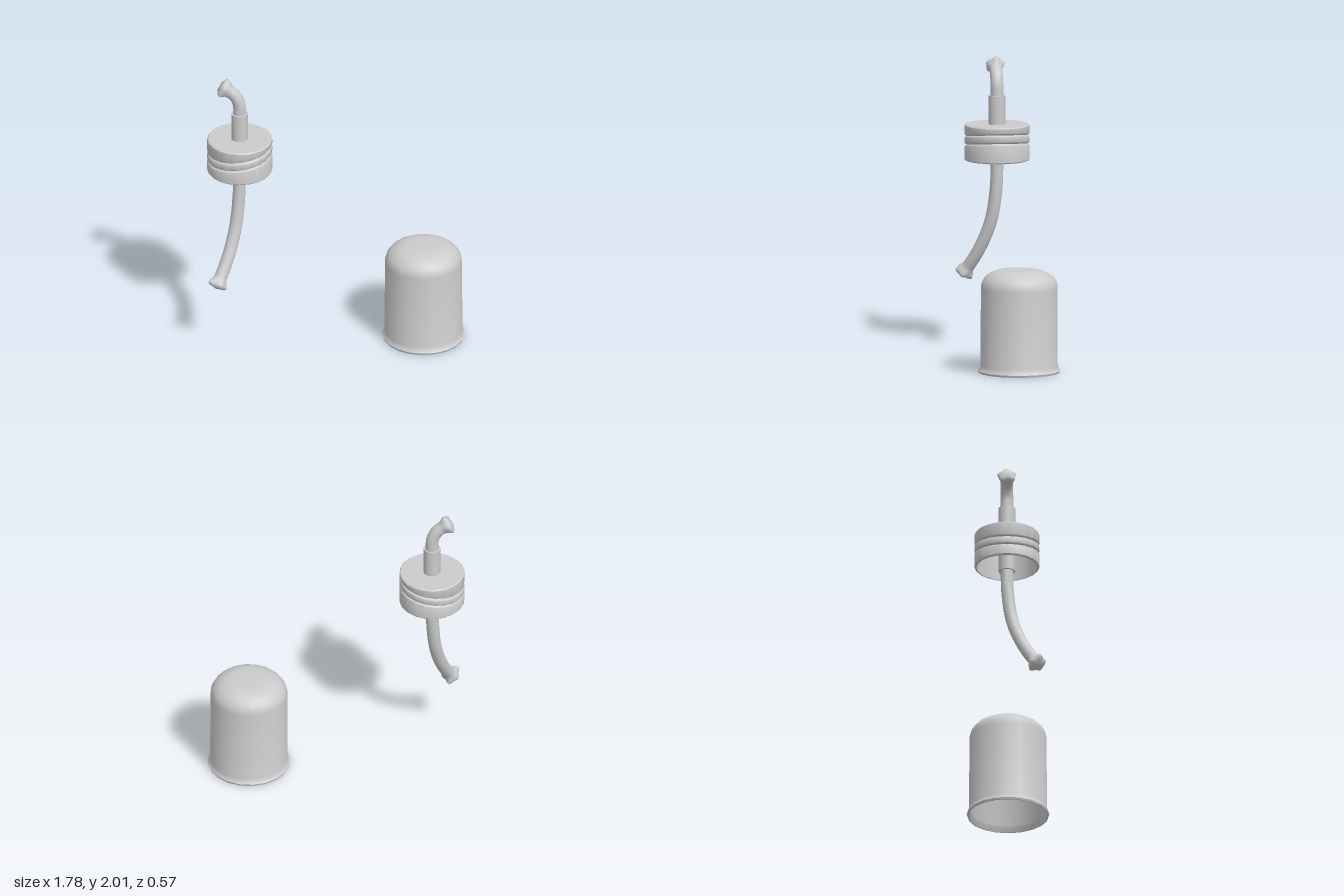
import * as THREE from 'three';
import { toCreasedNormals } from 'three/addons/utils/BufferGeometryUtils.js';

const material = new THREE.MeshStandardMaterial({ color: 0xcccccc, side: THREE.DoubleSide });
const SIDES = 20;
const CAP_X = -0.664, SNUFFER_X = 0.605, Z = -0.003;

function mesh(name, geometry, x = 0, z = 0) {
  const m = new THREE.Mesh(geometry, material);
  m.name = name;
  m.position.set(x, 0, z);
  return m;
}

const lathe = (profile, sides = SIDES) =>
  new THREE.LatheGeometry(profile.map(([r, y]) => new THREE.Vector2(r, y)), sides);

// Hollow bell with a rounded shoulder and a flared rim
function snuffer() {
  const profile = [
    [0, 0.7], [0.12, 0.697], [0.185, 0.68], [0.235, 0.64], [0.256, 0.585],
    [0.256, 0.05], [0.264, 0.025], [0.274, 0],
    [0.281, 0], [0.286, 0.014], [0.276, 0.026], [0.268, 0.05],
    [0.267, 0.59], [0.262, 0.622], [0.245, 0.653], [0.22, 0.678], [0.187, 0.697],
    [0.15, 0.709], [0.115, 0.713], [0.06, 0.715], [0, 0.715],
  ];
  return mesh('snuffer', toCreasedNormals(lathe(profile), 0.6), SNUFFER_X, Z);
}

// Cap open below, with a slanting thread between two grooves
function threadedCap() {
  const profile = [
    [0.05, 1.535], [0.21, 1.535], [0.21, 1.3], [0.218, 1.3], [0.225, 1.307],
    [0.225, 1.398], [0.221, 1.405], [0.21, 1.411], [0.221, 1.417], [0.225, 1.424],
    [0.225, 1.458], [0.221, 1.465], [0.21, 1.471], [0.221, 1.477], [0.225, 1.484],
    [0.225, 1.543], [0.218, 1.55], [0.05, 1.55],
  ];
  const geometry = lathe(profile);
  const p = geometry.attributes.position;
  for (let i = 0; i < p.count; i++) {
    const y = p.getY(i);
    if (y > 1.39 && y < 1.49) p.setY(i, y + 0.135 * p.getX(i));
  }
  return mesh('threadedCap', toCreasedNormals(geometry, 0.6), CAP_X, Z);
}

// Sleeve that holds the wick
function wickHolder() {
  const profile = [[0.046, 1.75], [0.046, 1.27], [0.058, 1.27], [0.058, 1.75], [0.046, 1.75]];
  return mesh('wickHolder', toCreasedNormals(lathe(profile), 0.6), CAP_X, Z);
}

// Bent cord whose two ends flare into frayed knots
function wick() {
  const path = new THREE.CatmullRomCurve3([
    [-0.825, 0.48, 0.222], [-0.768, 0.6, 0.148], [-0.718, 0.75, 0.077], [-0.687, 0.9, 0.03],
    [-0.669, 1.1, 0.003], [-0.664, 1.27, Z], [-0.664, 1.55, Z], [-0.664, 1.75, Z],
    [-0.67, 1.83, Z], [-0.7, 1.89, Z], [-0.75, 1.93, Z], [-0.803, 1.963, Z],
  ].map((v) => new THREE.Vector3(...v)));
  const segments = 130, radial = 20, radius = 0.044;
  const geometry = new THREE.TubeGeometry(path, segments, radius, radial);
  const p = geometry.attributes.position;
  const v = new THREE.Vector3();
  for (let i = 0; i <= segments; i++) {
    const center = path.getPointAt(i / segments);
    const fromEnd = Math.min(i, segments - i);
    if (fromEnd > 7) continue;
    const upper = i > segments / 2 ? 1 : 0;
    const flare = THREE.MathUtils.smoothstep(7 - fromEnd, 0, 5);
    for (let j = 0; j <= radial; j++) {
      const a = (j % radial) / radial * Math.PI * 2;
      const lobes = 0.17 * Math.cos(5 * a + upper) + 0.1 * Math.sin(3 * a + 2 * upper);
      let scale = 1 + flare * (0.42 + lobes);
      if (fromEnd === 1) scale *= 0.85;
      if (fromEnd === 0) scale = 0;
      const k = i * (radial + 1) + j;
      v.fromBufferAttribute(p, k).sub(center).multiplyScalar(scale).add(center);
      p.setXYZ(k, v.x, v.y, v.z);
    }
  }
  return mesh('wick', toCreasedNormals(geometry, 0.9));
}

export function createModel() {
  const group = new THREE.Group();
  group.name = 'wickCapAndSnuffer';
  group.add(snuffer(), threadedCap(), wickHolder(), wick());
  return group;
}
